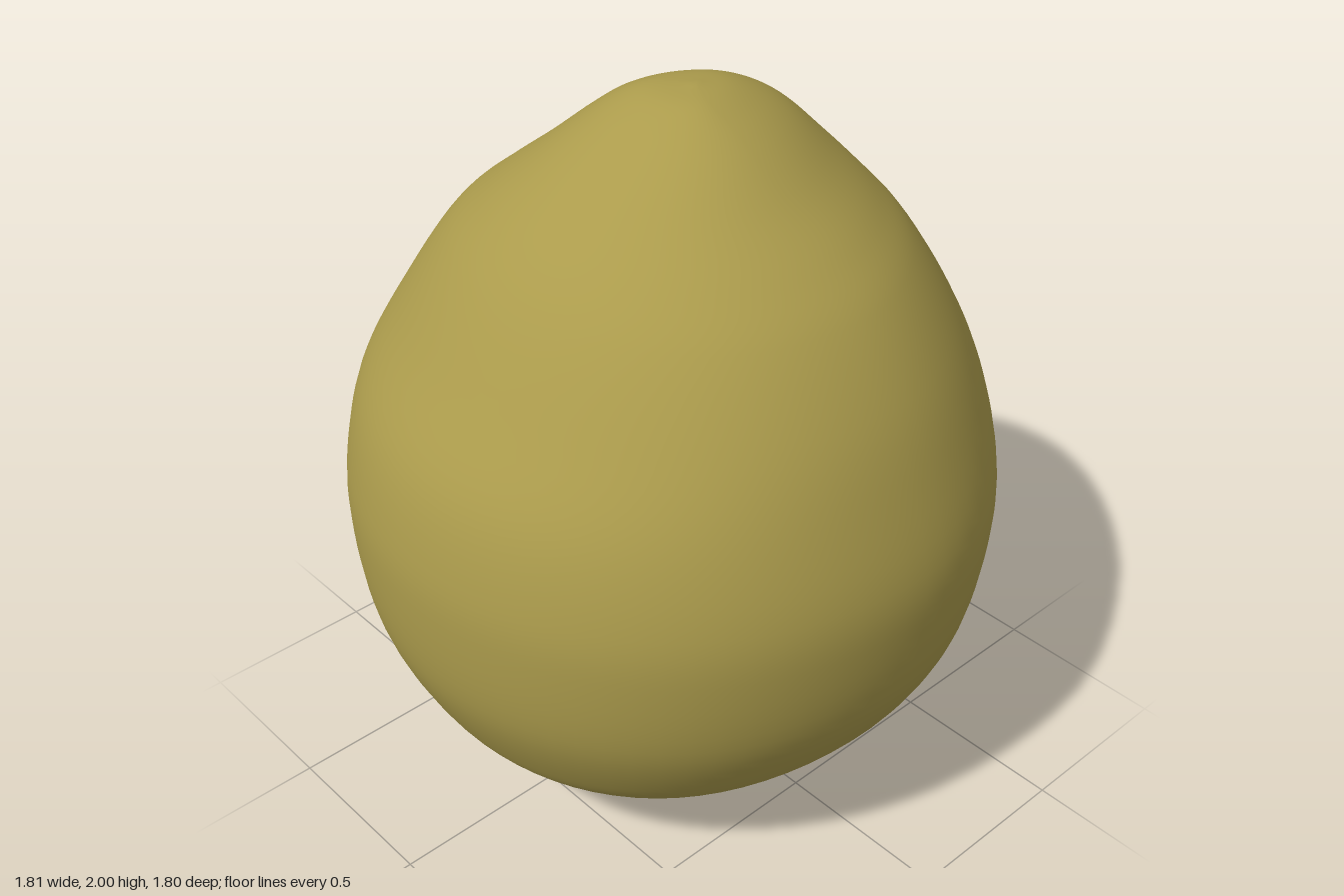
import * as THREE from 'three';

// Cross-sections: height, reach to -x, +x, -z, +z
const SECTIONS = [
  [0.03, 0.38, 0.26, 0.11, 0.31],
  [0.06, 0.44, 0.32, 0.28, 0.36],
  [0.1, 0.49, 0.41, 0.46, 0.43],
  [0.2, 0.61, 0.56, 0.57, 0.575],
  [0.3, 0.735, 0.68, 0.68, 0.68],
  [0.4, 0.8, 0.75, 0.77, 0.76],
  [0.6, 0.88, 0.85, 0.85, 0.86],
  [0.85, 0.905, 0.9, 0.9, 0.9],
  [1.0, 0.895, 0.89, 0.895, 0.895],
  [1.2, 0.84, 0.84, 0.855, 0.84],
  [1.4, 0.715, 0.74, 0.755, 0.76],
  [1.6, 0.58, 0.61, 0.62, 0.63],
  [1.7, 0.49, 0.52, 0.5, 0.525],
  [1.8, 0.37, 0.425, 0.37, 0.395],
  [1.9, 0.23, 0.32, 0.25, 0.27],
  [1.95, 0.15, 0.24, 0.18, 0.19],
  [1.985, 0.07, 0.15, 0.1, 0.11],
];
const BOTTOM = new THREE.Vector3(-0.08, 0.003, 0.06);
const TOP = new THREE.Vector3(0.04, 2, 0.02);
const AROUND = 80, ALONG = 96;

// Point on a section: a quarter ellipse per quadrant, slightly fuller on the -x side
function sectionPoint([y, xn, xp, zn, zp], angle) {
  const c = Math.cos(angle), s = Math.sin(angle);
  const diagonal = Math.sin(2 * angle) ** 2;
  const fullness = 1 + diagonal * (c > 0 ? -0.035 : s > 0 ? 0.02 : 0.005);
  return new THREE.Vector3(
    c * (c > 0 ? xp : xn) * fullness, y, s * (s > 0 ? zp : zn) * fullness);
}

function bodyGeometry() {
  const positions = [BOTTOM.x, BOTTOM.y, BOTTOM.z];
  const index = [];
  // One smooth meridian per angle, from the base to the rounded tip
  for (let i = 0; i < AROUND; i++) {
    const angle = (i / AROUND) * Math.PI * 2;
    const meridian = new THREE.CatmullRomCurve3(
      [BOTTOM, ...SECTIONS.map((s) => sectionPoint(s, angle)), TOP]);
    for (let j = 1; j < ALONG; j++) {
      const p = meridian.getPoint(j / ALONG);
      positions.push(p.x, Math.min(2, Math.max(0, p.y)), p.z);
    }
  }
  const top = positions.length / 3;
  positions.push(TOP.x, TOP.y, TOP.z);

  const at = (i, j) => 1 + (i % AROUND) * (ALONG - 1) + (j - 1);
  for (let i = 0; i < AROUND; i++) {
    index.push(0, at(i, 1), at(i + 1, 1));
    for (let j = 1; j < ALONG - 1; j++) {
      const a = at(i, j), b = at(i + 1, j), c = at(i + 1, j + 1), d = at(i, j + 1);
      index.push(a, d, c, a, c, b);
    }
    index.push(at(i, ALONG - 1), top, at(i + 1, ALONG - 1));
  }
  const geometry = new THREE.BufferGeometry();
  geometry.setAttribute('position', new THREE.Float32BufferAttribute(positions, 3));
  geometry.setIndex(index);
  geometry.computeVertexNormals();
  return geometry;
}

export function createModel() {
  const group = new THREE.Group();
  group.name = 'roundedDrop';
  const olive = new THREE.MeshStandardMaterial({ color: 0xab9b4c });
  olive.name = 'olive';
  const body = new THREE.Mesh(bodyGeometry(), olive);
  body.name = 'body';
  group.add(body);
  return group;
}
